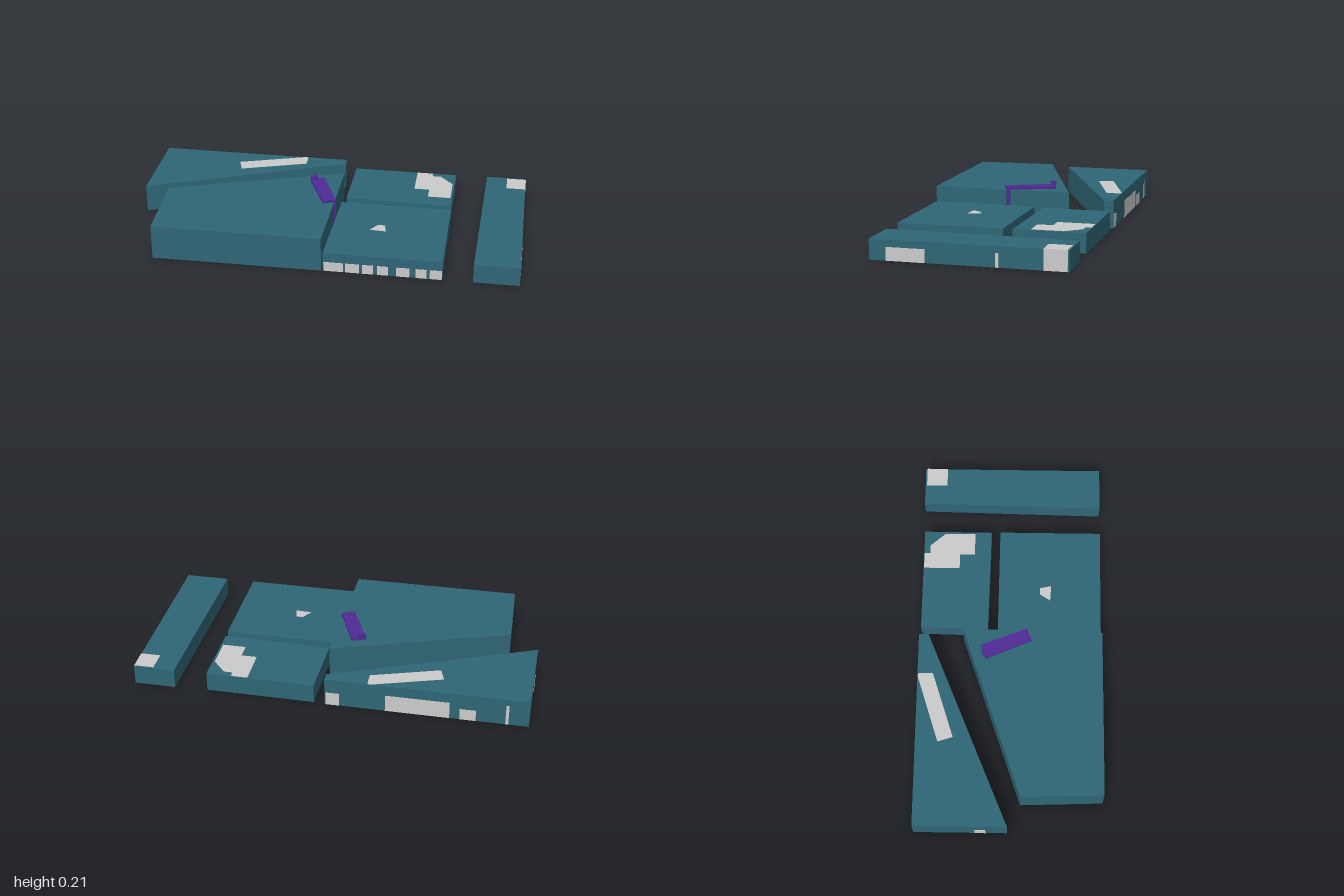
import * as THREE from 'three';

const envelope = new THREE.MeshStandardMaterial({ color: 0x2f6676, side: THREE.DoubleSide });
const grey = new THREE.MeshStandardMaterial({ color: 0xcccccc, side: THREE.DoubleSide });
const purple = new THREE.MeshStandardMaterial({ color: 0x4f2a94, side: THREE.DoubleSide });

// Walls and flat roof over a plan of [x, z] corners, open underneath
function shell(name, plan, height, material, base = 0) {
  let pts = plan.map(([x, z]) => new THREE.Vector2(x, -z));
  if (THREE.ShapeUtils.isClockWise(pts)) pts.reverse();
  const pos = [];
  const put = (p, y) => pos.push(p.x, y, -p.y);
  pts.forEach((a, i) => {
    const b = pts[(i + 1) % pts.length];
    put(a, base); put(b, base); put(b, height);
    put(a, base); put(b, height); put(a, height);
  });
  for (const tri of THREE.ShapeUtils.triangulateShape(pts, [])) {
    for (const i of tri) put(pts[i], height);
  }
  const geo = new THREE.BufferGeometry();
  geo.setAttribute('position', new THREE.Float32BufferAttribute(pos, 3));
  geo.computeVertexNormals();
  const mesh = new THREE.Mesh(geo, material);
  mesh.name = name;
  return mesh;
}

// Rectangular plan from its bounds
const rect = (x0, x1, z0, z1) => [[x0, z0], [x1, z0], [x1, z1], [x0, z1]];

// Rectangular plan from centre, size and turn
function turned(cx, cz, w, d, angle) {
  const c = Math.cos(angle), s = Math.sin(angle);
  return rect(-w / 2, w / 2, -d / 2, d / 2).map(([x, z]) => [cx + x * c - z * s, cz + x * s + z * c]);
}

// Regular polygon plan
const ring = (cx, cz, r, n) => Array.from({ length: n }, (_, i) => {
  const a = ((i + 0.5) / n) * Math.PI * 2;
  return [cx + r * Math.cos(a), cz + r * Math.sin(a)];
});

export function createModel() {
  const model = new THREE.Group();
  model.name = 'cityBlocks';

  // Block envelopes
  const blocks = {
    wedgeBlock: [[[-1, -0.48], [0.015, -0.48], [0.015, -0.43], [-1, -0.005]], 0.145],
    tallBlock: [[[-0.855, 0.058], [0.035, -0.25], [0.02, 0.475], [-0.84, 0.478]], 0.18],
    backBlock: [[[0.07, -0.475], [0.622, -0.472], [0.62, -0.112], [0.063, -0.122]], 0.1],
    frontBlock: [[[0.045, -0.07], [0.622, -0.065], [0.622, 0.472], [0.028, 0.472]], 0.1],
    narrowBlock: [[[0.79, -0.48], [1, -0.48], [1, 0.472], [0.772, 0.472]], 0.1],
  };
  for (const [name, [plan, h]] of Object.entries(blocks)) model.add(shell(name, plan, h, envelope));

  // Buildings inside each block, a few breaking its surface slightly
  const buildings = {
    wedge: [
      [[[-0.565, -0.365], [-0.215, -0.479], [-0.2, -0.475], [-0.2, -0.4], [-0.54, -0.288]], 0.1465],
      [rect(-0.06, 0.01, -0.4815, -0.45), 0.07],
      [rect(-0.61, -0.29, -0.4815, -0.43), 0.09],
      [rect(-0.74, -0.66, -0.4815, -0.4), 0.06],
      [rect(-0.9, -0.885, -0.4815, -0.4), 0.11],
      [rect(-1.0015, -0.88, -0.17, -0.115), 0.07],
      [turned(-0.75, -0.27, 0.22, 0.09, -0.4), 0.06],
      [turned(-0.38, -0.36, 0.25, 0.06, -0.4), 0.05],
    ],
    tall: [
      [ring(-0.7, 0.13, 0.07, 8), 0.07],
      [ring(-0.6, 0.06, 0.05, 8), 0.06],
      [ring(-0.74, 0.27, 0.05, 8), 0.05],
      [rect(-0.66, -0.53, 0.34, 0.44), 0.07],
      [turned(-0.47, 0.17, 0.16, 0.1, -0.33), 0.09],
      [turned(-0.48, 0.0, 0.16, 0.08, -0.33), 0.08],
      [turned(-0.3, 0.05, 0.14, 0.12, -0.33), 0.1],
      [turned(-0.3, 0.2, 0.2, 0.08, -0.33), 0.07],
    ],
    back: [
      [[[0.41, -0.471], [0.495, -0.471], [0.495, -0.44], [0.54, -0.44], [0.61, -0.36],
        [0.61, -0.2], [0.49, -0.2], [0.49, -0.28], [0.41, -0.28]], 0.1015],
      [ring(0.22, -0.22, 0.06, 6), 0.07],
      [rect(0.14, 0.3, -0.42, -0.34), 0.05],
    ],
    front: [
      [[[0.23, 0.205], [0.265, 0.15], [0.3, 0.15], [0.312, 0.21]], 0.1015],
      [rect(0.36, 0.54, 0.04, 0.12), 0.06],
      [rect(0.4, 0.56, 0.19, 0.26), 0.05],
      [rect(0.1, 0.25, 0.07, 0.14), 0.06],
      [rect(0.08, 0.24, 0.27, 0.34), 0.05],
    ],
    narrow: [
      [rect(0.9, 1.0015, -0.472, -0.36), 0.1015],
      [[[0.86, -0.2], [1.0015, -0.15], [1.0015, -0.136], [0.85, -0.1]], 0.068],
      [rect(0.86, 1.0015, 0.2, 0.39), 0.065],
      [turned(0.85, -0.24, 0.07, 0.12, 0.4), 0.06],
      [rect(0.81, 0.9, 0.0, 0.12), 0.06],
    ],
  };
  for (const [name, list] of Object.entries(buildings)) {
    list.forEach(([plan, h], i) => model.add(shell(`${name}Building${i + 1}`, plan, h, grey)));
  }

  // Row of terrace houses along the front street
  const row = [[0.032, 0.13], [0.14, 0.21], [0.226, 0.28], [0.3, 0.355], [0.395, 0.46], [0.49, 0.545], [0.56, 0.62]];
  for (const [a, b] of row) model.add(shell('terraceHouse', rect(a, b, 0.42, 0.4735), 0.05, grey));

  // Slanted tower with roof hut and low podium
  const tower = new THREE.Group();
  tower.name = 'slantedTower';
  tower.add(
    shell('towerBody', [[-0.13, -0.13], [-0.06, -0.157], [0.036, 0.083], [-0.028, 0.109]], 0.193, purple),
    shell('roofHut', [[-0.13, -0.13], [-0.1, -0.15], [-0.09, -0.125], [-0.12, -0.115]], 0.212, purple, 0.19),
    shell('podium', [[0.0, -0.2], [-0.24, -0.13], [-0.2, -0.03], [0.01, 0.03]], 0.08, purple),
  );
  model.add(tower);
  return model;
}
